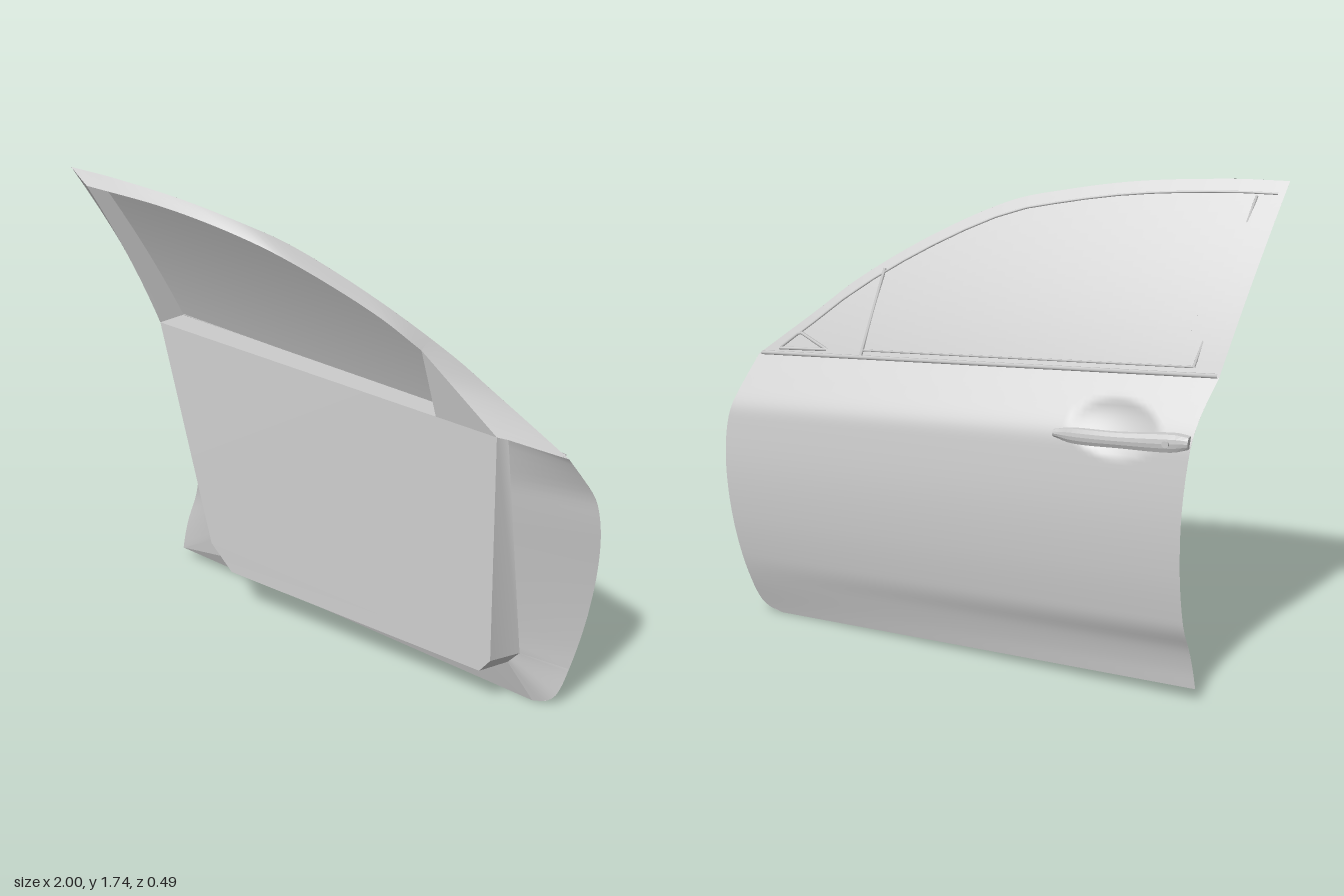
import * as THREE from 'three';

const V = (x, y, z) => new THREE.Vector3(x, y, z);
const lerp = THREE.MathUtils.lerp;

// smooth curve value through [position, value] points
function table(pts) {
  const slope = (i) => {
    const a = pts[Math.max(0, i - 1)], b = pts[Math.min(pts.length - 1, i + 1)];
    return (b[1] - a[1]) / (b[0] - a[0]);
  };
  return (x) => {
    let i = 0;
    while (i < pts.length - 2 && x > pts[i + 1][0]) i++;
    const [x0, y0] = pts[i], [x1, y1] = pts[i + 1], w = x1 - x0;
    const t = THREE.MathUtils.clamp((x - x0) / w, 0, 1), t2 = t * t, t3 = t2 * t;
    return y0 * (2 * t3 - 3 * t2 + 1) + y1 * (3 * t2 - 2 * t3)
      + w * (slope(i) * (t3 - 2 * t2 + t) + slope(i + 1) * (t3 - t2));
  };
}

// door outline and section rules
const beltY = (x) => 1.13 - (x + 0.88) * 0.0608;
const rearX = table([[0, -0.88], [0.12, -0.845], [0.3, -0.825], [0.49, -0.82], [0.72, -0.83], [1, -0.865]]);
const frontX = table([[0, 0.93], [0.216, 0.99], [0.363, 1], [0.61, 0.98], [0.853, 0.94], [0.95, 0.915], [0.985, 0.88], [1, 0.83]]);
const rearZ = table([[0, -0.085], [0.08, -0.143], [0.17, -0.2], [0.24, -0.216], [0.42, -0.234], [0.6, -0.232],
  [0.76, -0.214], [0.8, -0.203], [0.86, -0.175], [0.93, -0.157], [1, -0.148]]);
const frontZ = table([[0, -0.085], [0.08, -0.143], [0.17, -0.2], [0.24, -0.216], [0.42, -0.234], [0.6, -0.232],
  [0.76, -0.214], [0.86, -0.191], [1, -0.145]]);
const topY = table([[-1, 1.74], [-0.8, 1.737], [-0.47, 1.713], [-0.2, 1.67], [0, 1.622], [0.28, 1.49], [0.545, 1.325], [0.7, 1.2], [0.93, 1.02]]);

// outer surface below the belt, with the hand scoop
function skin(u, s) {
  const x = lerp(rearX(s), frontX(s), u);
  const y = lerp(lerp(1.13, 0.05, s), lerp(1.02, 0, s), u);
  const r = Math.hypot((x + 0.56) / 0.16, (y - 0.945) / 0.09);
  const dip = r < 1 ? 0.032 * (1 - r * r) : 0;
  return V(x, y, lerp(rearZ(s), frontZ(s), u) + dip);
}

// outer surface above the belt
function glassAt(x, y, out = 0) {
  const h = y - beltY(x);
  return V(x, y, -0.085 + h * (0.36 + 0.19 * h) - out);
}

function grid(f, nu, nv) {
  const pos = [], idx = [];
  for (let j = 0; j <= nv; j++) for (let i = 0; i <= nu; i++) pos.push(...f(i / nu, j / nv).toArray());
  for (let j = 0; j < nv; j++) for (let i = 0; i < nu; i++) {
    const a = j * (nu + 1) + i, b = a + nu + 1;
    idx.push(a, b, a + 1, a + 1, b, b + 1);
  }
  const g = new THREE.BufferGeometry();
  g.setAttribute('position', new THREE.Float32BufferAttribute(pos, 3));
  g.setIndex(idx);
  g.computeVertexNormals();
  return g;
}

const line = (a, b) => (t) => a.clone().lerp(b, t);

export function createModel() {
  const door = new THREE.Group();
  door.name = 'carDoor';
  const paint = new THREE.MeshStandardMaterial({ color: 0xcccccc, side: THREE.DoubleSide });
  paint.name = 'light grey';
  const add = (name, geo) => {
    const m = new THREE.Mesh(geo, paint);
    m.name = name;
    door.add(m);
    return m;
  };
  const strip = (name, a, b, n = 1) => add(name, grid((u, v) => a(u).lerp(b(u), v), n, 1));
  const tri = (name, a, b, c) => strip(name, line(a, b), () => c.clone());

  // outer panel and window
  add('outerSkin', grid(skin, 90, 64));
  add('windowGlass', grid((u, v) => {
    const bx = lerp(-0.88, 0.93, u), tx = lerp(-1, 0.93, u);
    return glassAt(lerp(bx, tx, v), lerp(beltY(bx), topY(tx), v));
  }, 48, 12));

  // inner trim panel: face loop and the wider loop behind it
  const face = [V(-0.75, 1.15, 0.04), V(-0.5, 0.295, 0.075), V(-0.4, 0.2, 0.075), V(0.715, 0.185, 0.048), V(0.755, 0.24, 0.045), V(0.715, 1.075, 0.015)];
  const back = [V(-0.75, 1.15, 0.035), V(-0.54, 0.24, -0.1), V(-0.44, 0.145, -0.1), V(0.745, 0.155, -0.1), V(0.79, 0.21, -0.1), V(0.75, 1.07, 0)];
  strip('trimPanel', line(face[0], face[1]), line(face[5], face[4]));
  strip('trimPanelLower', line(face[1], face[2]), line(face[4], face[3]));
  for (let i = 0; i < 5; i++) strip('trimWall', line(face[i], face[i + 1]), line(back[i], back[i + 1]));

  // inner shell from the trim out to the door edge
  strip('rearJamb', (t) => skin(0, t), line(back[0], back[1]), 30);
  tri('rearLowerCorner', back[1], back[2], skin(0, 1));
  strip('lowerShell', (t) => skin(t, 1), line(back[2], back[3]), 12);
  strip('frontShell', (t) => skin(1, t * 0.85), line(back[5], back[4]), 30);
  strip('frontLowerCorner', (t) => skin(1, 0.85 + t * 0.15), line(back[4], back[3]), 16);

  // inner window frame
  const header = new THREE.CatmullRomCurve3([V(-0.88, 1.7, 0.245), V(-0.5, 1.68, 0.235), V(-0.2, 1.63, 0.21),
    V(0, 1.57, 0.18), V(0.3, 1.43, 0.11), V(0.445, 1.33, 0.065)]);
  const pillar = new THREE.QuadraticBezierCurve3(V(-0.88, 1.7, 0.245), V(-0.815, 1.425, 0.11), face[0]);
  const edge = (a, b) => (t) => { const x = lerp(a, b, t); return glassAt(x, topY(x)); };
  const rearEdge = (t) => glassAt(lerp(-1, -0.88, t), lerp(1.74, 1.13, t));
  strip('frameHeader', edge(-1, 0.47), (t) => header.getPoint(t), 32);
  strip('framePillar', rearEdge, (t) => pillar.getPoint(t), 10);
  const corner = V(0.445, 1.33, 0.065), sill = V(0.48, 1.087, 0.019);
  tri('frontCornerPlate', corner, sill, face[5]);
  strip('frontFrame', edge(0.47, 0.93), line(corner, face[5]), 12);
  tri('frontFrameEnd', face[5], back[5], skin(1, 0));

  // reveals from the inner frame to the glass
  const reveal = (name, c, n, inset = 0) => strip(name, c, (t) => {
    const p = c(t);
    return glassAt(p.x + inset, p.y);
  }, n);
  reveal('headerReveal', (t) => header.getPoint(t), 32);
  reveal('pillarReveal', (t) => pillar.getPoint(t), 10, 0.014);
  reveal('windowSill', line(face[0], sill), 8);
  reveal('frontReveal', line(sill, corner), 4);

  // raised mouldings and seals on the outside
  const bead = (name, pts, r, closed = false) => {
    const path = new THREE.CurvePath();
    const v = pts.map(([x, y]) => glassAt(x, y, 0.002));
    if (closed) v.push(v[0].clone());
    for (let i = 1; i < v.length; i++) path.add(new THREE.LineCurve3(v[i - 1], v[i]));
    add(name, new THREE.TubeGeometry(path, 8 * (v.length - 1), r, 6, false));
  };
  const headerSeal = [];
  for (let i = 0; i <= 16; i++) {
    const x = lerp(-0.97, 0.82, i / 16);
    headerSeal.push([x, topY(x) - 0.04]);
  }
  bead('beltMoulding', [[-0.875, beltY(-0.875) + 0.006], [0.915, beltY(0.915) + 0.006]], 0.008);
  bead('headerSeal', headerSeal, 0.004);
  bead('quarterDivider', [[0.445, 1.365], [0.48, 1.055]], 0.007);
  bead('sillSeal', [[-0.79, 1.155], [0.48, 1.078]], 0.004);
  bead('rearSeal', [[-0.9, 1.69], [-0.79, 1.155]], 0.005);
  bead('mirrorBase', [[0.63, 1.065], [0.76, 1.115], [0.84, 1.05]], 0.006, true);

  // pull handle, bowed outward and tapered at the ends
  const gripOuter = table([[-0.83, -0.228], [-0.77, -0.241], [-0.6, -0.249], [-0.45, -0.24], [-0.35, -0.216]]);
  const gripInner = table([[-0.83, -0.195], [-0.72, -0.21], [-0.58, -0.222], [-0.45, -0.214], [-0.35, -0.2]]);
  const gripHalf = table([[-0.83, 0.02], [-0.78, 0.03], [-0.6, 0.026], [-0.42, 0.025], [-0.35, 0.012]]);
  const grip = new THREE.BoxGeometry(0.48, 1, 1, 24, 4, 2).toNonIndexed();
  const p = grip.attributes.position;
  for (let i = 0; i < p.count; i++) {
    const x = p.getX(i) - 0.59, y = p.getY(i) * 2, z = p.getZ(i) + 0.5;
    const bevel = 0.008 * y * y * (1 - z);
    p.setXYZ(i, x, beltY(x) - 0.19 + y * gripHalf(x), lerp(gripOuter(x), gripInner(x), z) + bevel);
  }
  grip.computeVertexNormals();
  add('doorHandle', grip);
  const lock = add('keyLock', new THREE.CylinderGeometry(0.012, 0.012, 0.012, 16));
  lock.rotation.x = Math.PI / 2;
  lock.position.set(-0.76, beltY(-0.76) - 0.19, gripOuter(-0.76));

  return door;
}
